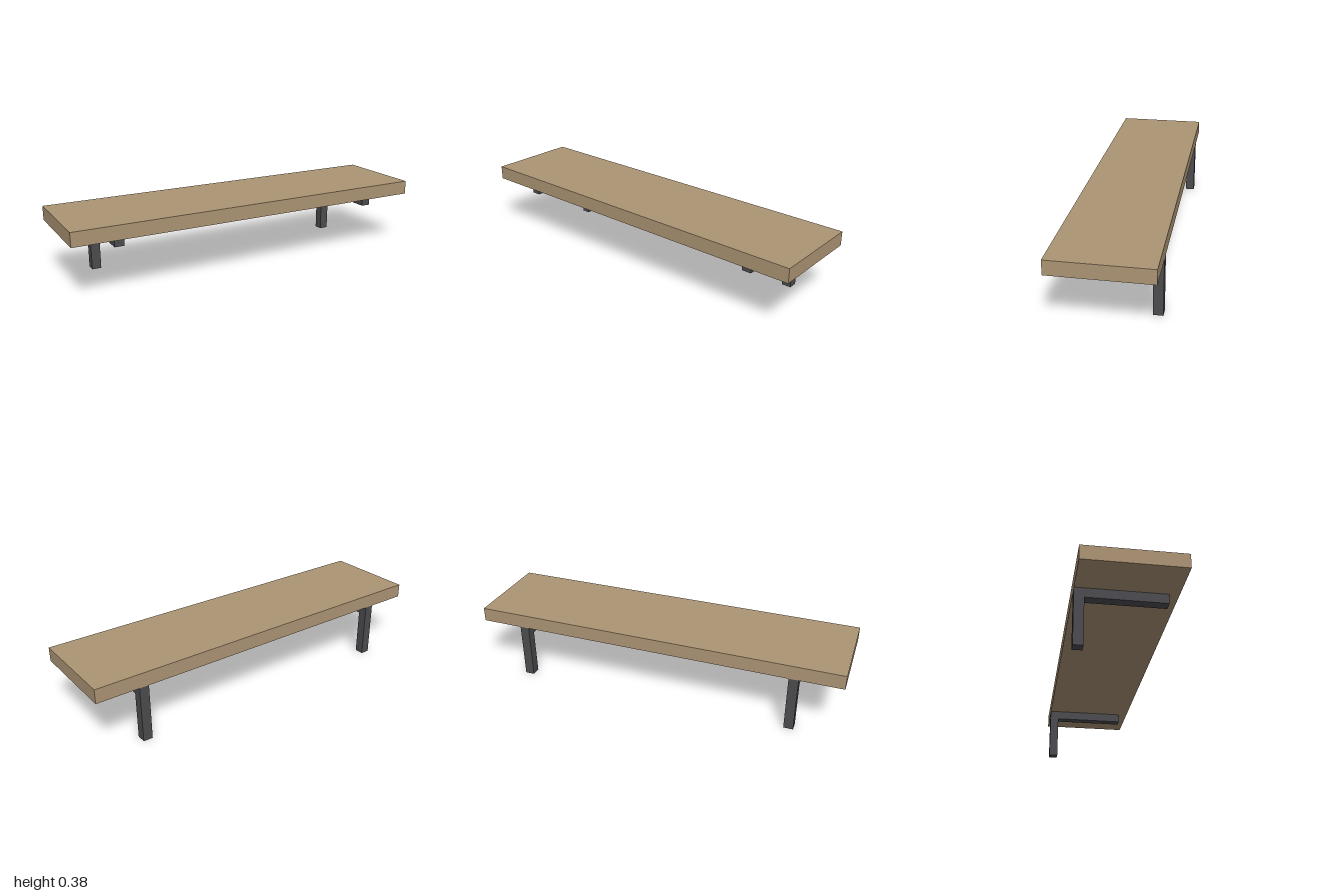
import * as THREE from 'three';

export function createModel() {
  const group = new THREE.Group();
  group.name = 'wallShelf';

  const wood = new THREE.MeshStandardMaterial({ color: 0xac9474 });
  wood.name = 'wood';
  const metal = new THREE.MeshStandardMaterial({ color: 0x4c4c50 });
  metal.name = 'dark metal';

  // Shelf board
  const board = new THREE.Mesh(new THREE.BoxGeometry(2, 0.075, 0.5), wood);
  board.name = 'board';
  board.position.y = 0.3375;
  group.add(board);

  // L-shaped bracket profile: x is depth (z of the model), y is height
  const profile = new THREE.Shape([
    [-0.25, 0], [-0.2, 0], [-0.2, 0.25], [0.2, 0.25], [0.2, 0.3], [-0.25, 0.3],
  ].map(([z, y]) => new THREE.Vector2(z, y)));
  const bracketGeometry = new THREE.ExtrudeGeometry(profile, { depth: 0.05, bevelEnabled: false });
  bracketGeometry.translate(0, 0, -0.025).rotateY(-Math.PI / 2);

  // One bracket near each end
  for (const [name, x] of [['leftBracket', 0.75], ['rightBracket', -0.75]]) {
    const bracket = new THREE.Mesh(bracketGeometry, metal);
    bracket.name = name;
    bracket.position.x = x;
    group.add(bracket);
  }

  return group;
}
